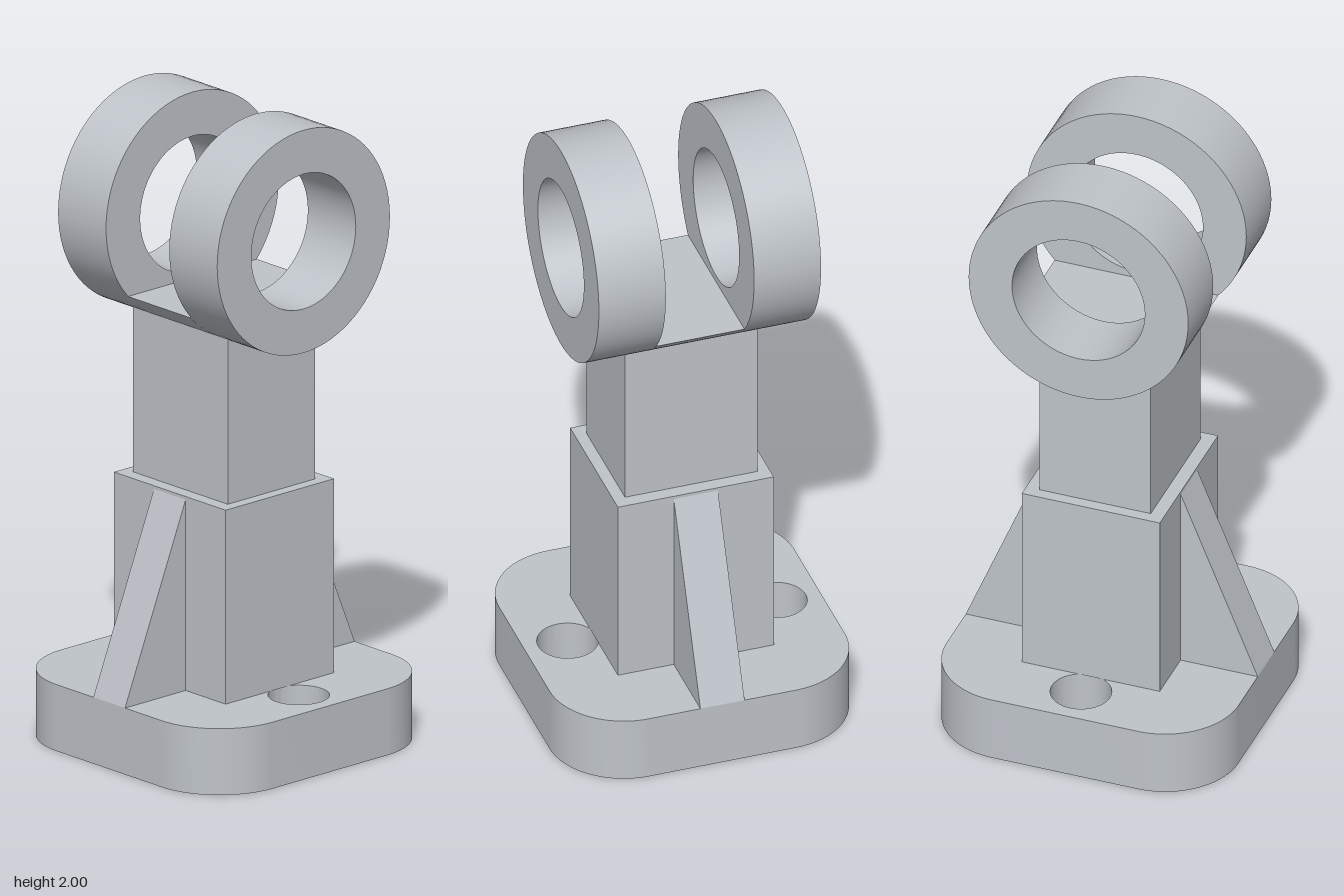
import * as THREE from 'three';
import { toCreasedNormals } from 'three/addons/utils/BufferGeometryUtils.js';

const BASE = 0.468, CORNER = 0.235, BASE_TOP = 0.21;
const SOCKET_TOP = 0.823;
const EYE_Y = 1.648, EYE_R = 0.352, BORE_R = 0.213, EYE_IN = 0.14;
const WEB_TOP = 1.413;

export function createModel() {
  const model = new THREE.Group();
  model.name = 'clevisBracket';
  const metal = new THREE.MeshStandardMaterial({ color: 0xbfc4ca });
  metal.name = 'grey metal';

  const add = (name, geometry) => {
    const mesh = new THREE.Mesh(geometry, metal);
    mesh.name = name;
    model.add(mesh);
    return mesh;
  };
  const extrude = (shape, depth) => toCreasedNormals(
    new THREE.ExtrudeGeometry(shape, { depth, bevelEnabled: false, curveSegments: 40 }), 0.5);
  // Profile drawn in the z-y plane, extruded along x from x0 to x0 + width
  const extrudeX = (shape, x0, width) => extrude(shape, width).rotateY(Math.PI / 2).translate(x0, 0, 0);
  const circle = (x, y, r) => new THREE.Path().absarc(x, y, r, 0, Math.PI * 2, true);
  const block = (name, hx, hz, y0, y1) =>
    add(name, new THREE.BoxGeometry(2 * hx, y1 - y0, 2 * hz).translate(0, (y0 + y1) / 2, 0));

  // Rounded square base with two bolt holes
  const plate = new THREE.Shape();
  const c = BASE - CORNER;
  [[c, c], [-c, c], [-c, -c], [c, -c]].forEach(([x, y], i) =>
    plate.absarc(x, y, CORNER, i * Math.PI / 2, (i + 1) * Math.PI / 2, false));
  plate.closePath();
  for (const s of [-1, 1]) plate.holes.push(circle(s * 0.331, 0, 0.0925));
  add('base', extrude(plate, BASE_TOP).rotateX(-Math.PI / 2));

  // Stepped post
  block('lowerPost', 0.247, 0.221, BASE_TOP, SOCKET_TOP);
  block('upperPost', 0.21, 0.178, SOCKET_TOP, 1.38);

  // Triangular ribs, front and back
  const rib = new THREE.Shape([
    new THREE.Vector2(0.2, BASE_TOP), new THREE.Vector2(BASE, BASE_TOP),
    new THREE.Vector2(0.221, 0.813), new THREE.Vector2(0.2, 0.813),
  ]);
  for (const [name, turn] of [['frontRib', Math.PI], ['backRib', 0]]) {
    add(name, extrudeX(rib, -0.07, 0.14).rotateY(turn));
  }

  // Pair of eyes with a through bore
  const eye = new THREE.Shape().absarc(0, EYE_Y, EYE_R, 0, Math.PI * 2, false);
  eye.holes.push(circle(0, EYE_Y, BORE_R));
  add('leftEye', extrudeX(eye, EYE_IN, EYE_R - EYE_IN));
  add('rightEye', extrudeX(eye, -EYE_R, EYE_R - EYE_IN));

  // Web between the eyes: a circular segment with a flat top
  const a = Math.asin((WEB_TOP - EYE_Y) / EYE_R);
  const web = new THREE.Shape().absarc(0, EYE_Y, EYE_R, -Math.PI - a, a, false);
  web.closePath();
  add('web', extrudeX(web, -EYE_IN, 2 * EYE_IN));

  return model;
}
